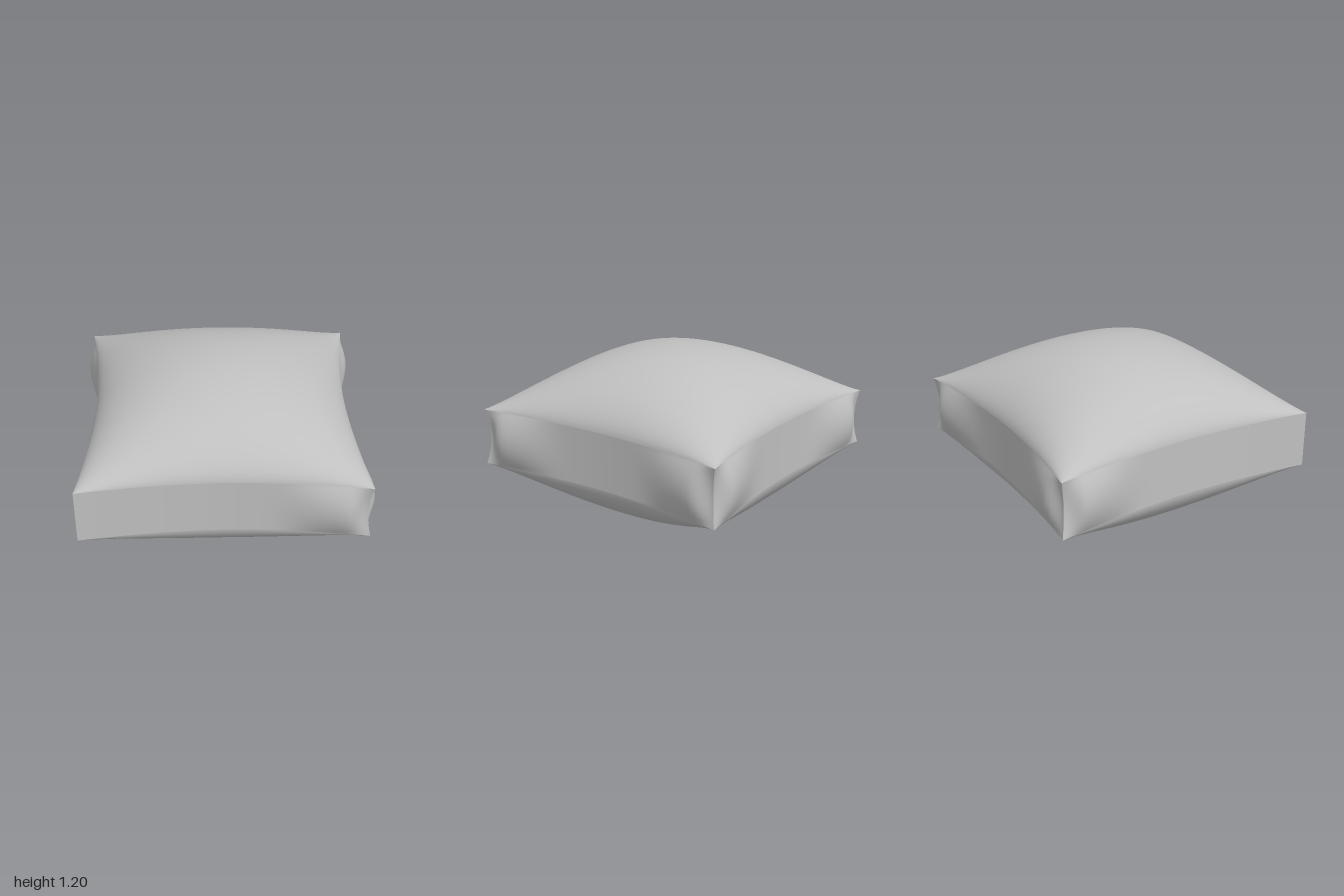
import * as THREE from 'three';

const N = 40;            // segments along one side
const CORNER = 0.965;    // half width at the corners
const WAIST = 0.88;      // half width at the middle of a side

// seam line: sides curve inward between the corners
const edge = (t) => WAIST + (CORNER - WAIST) * Math.abs(t) ** 1.75;
// closer rows toward the seams
const ease = (t) => Math.sin((t * Math.PI) / 2);
const smooth = THREE.MathUtils.smoothstep;

function reshape(geometry, rule) {
  const p = geometry.attributes.position;
  for (let i = 0; i < p.count; i++) p.setXYZ(i, ...rule(p.getX(i), p.getY(i), p.getZ(i)));
  geometry.computeVertexNormals();
  return geometry;
}

// puffed square panel, rising from its seam at y = 0
function panelGeometry() {
  const g = new THREE.PlaneGeometry(2, 2, N, N).rotateX(-Math.PI / 2);
  return reshape(g, (x, y, z) => {
    const u = ease(x), v = ease(z);
    const puff = Math.max(0, (1 - u * u) * (1 - v * v)) ** 0.6;
    return [u * edge(v), 0.4 * puff, v * edge(u)];
  });
}

// side band, run round from the one sharp corner; the other corners bulge
function bandGeometry() {
  const g = new THREE.PlaneGeometry(8, 2, 4 * N, 12);
  return reshape(g, (x, y) => {
    const s = x + 4;
    const side = Math.min(3, Math.floor(s / 2 + 1e-6));
    const t = ease(s - side * 2 - 1);
    const a = Math.abs(t);
    const sharp = (side === 0 && t < 0) || (side === 3 && t > 0);
    const swell = sharp ? 0 : 1 - y * y;
    const turn = smooth(a, 0.82, 1);
    const out = edge(t) + swell * (0.06 * smooth(a, 0.3, 0.82) - 0.085 * turn);
    const along = t * CORNER - Math.sign(t) * swell * 0.025 * turn;
    const angle = (side * Math.PI) / 2;
    const c = Math.cos(angle), n = Math.sin(angle);
    return [along * c + out * n, 0.6 + 0.2 * y, out * c - along * n];
  });
}

export function createModel() {
  const group = new THREE.Group();
  group.name = 'cushion';
  const fabric = new THREE.MeshStandardMaterial({ color: 0xc0c0c0 });
  fabric.name = 'greyFabric';

  const add = (name, geometry) => {
    const mesh = new THREE.Mesh(geometry, fabric);
    mesh.name = name;
    group.add(mesh);
    return mesh;
  };

  add('topPanel', panelGeometry()).position.y = 0.8;
  const bottom = add('bottomPanel', panelGeometry());
  bottom.rotation.x = Math.PI;
  bottom.position.y = 0.4;
  add('sideBand', bandGeometry());
  return group;
}
